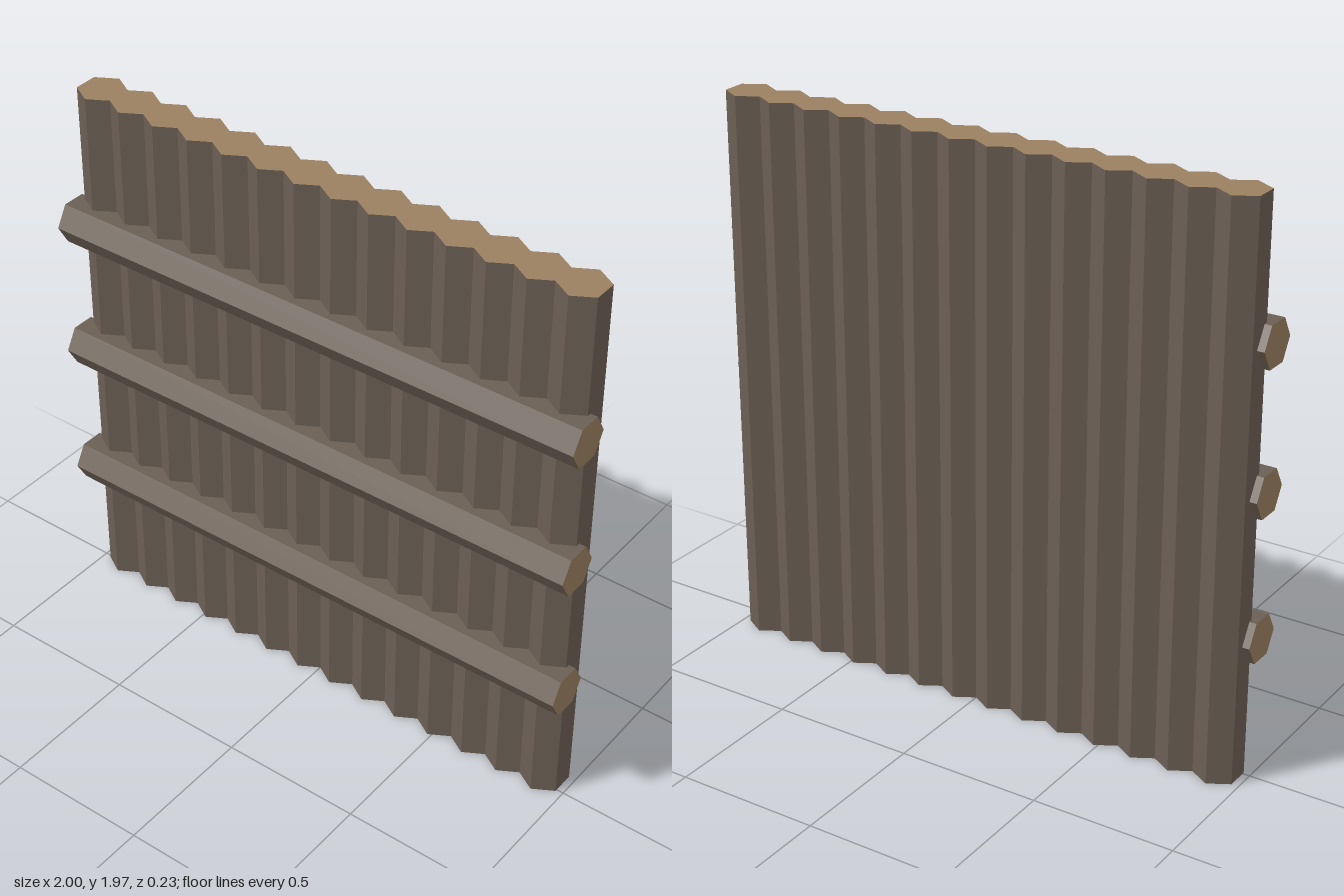
import * as THREE from 'three';

const bark = new THREE.MeshStandardMaterial({ color: 0x6b5f54, flatShading: true });
const cutWood = new THREE.MeshStandardMaterial({ color: 0x9b8060, flatShading: true });

const RADIUS = 0.0825;

// Six-sided log with bark sides and pale cut ends, a corner pointing to +z
function makeLog(name, length) {
  const geometry = new THREE.CylinderGeometry(RADIUS, RADIUS, length, 6);
  const log = new THREE.Mesh(geometry, [bark, cutWood, cutWood]);
  log.name = name;
  return log;
}

export function createModel() {
  const model = new THREE.Group();
  model.name = 'logWall';

  // Upright logs side by side, slightly overlapping
  const count = 14, height = 1.965, width = 1.95;
  const apothem = RADIUS * Math.cos(Math.PI / 6);
  const spacing = (width - 2 * apothem) / (count - 1);
  const uprights = new THREE.Group();
  uprights.name = 'uprightLogs';
  for (let i = 0; i < count; i++) {
    const log = makeLog(`uprightLog${i + 1}`, height);
    log.position.set((i - (count - 1) / 2) * spacing, height / 2, -0.034);
    uprights.add(log);
  }
  model.add(uprights);

  // Horizontal rails sunk into the front
  const rails = new THREE.Group();
  rails.name = 'crossRails';
  [0.485, 0.987, 1.48].forEach((y, i) => {
    const rail = makeLog(`crossRail${i + 1}`, 2);
    rail.rotation.z = Math.PI / 2;
    rail.position.set(0, y, 0.034);
    rails.add(rail);
  });
  model.add(rails);

  return model;
}
